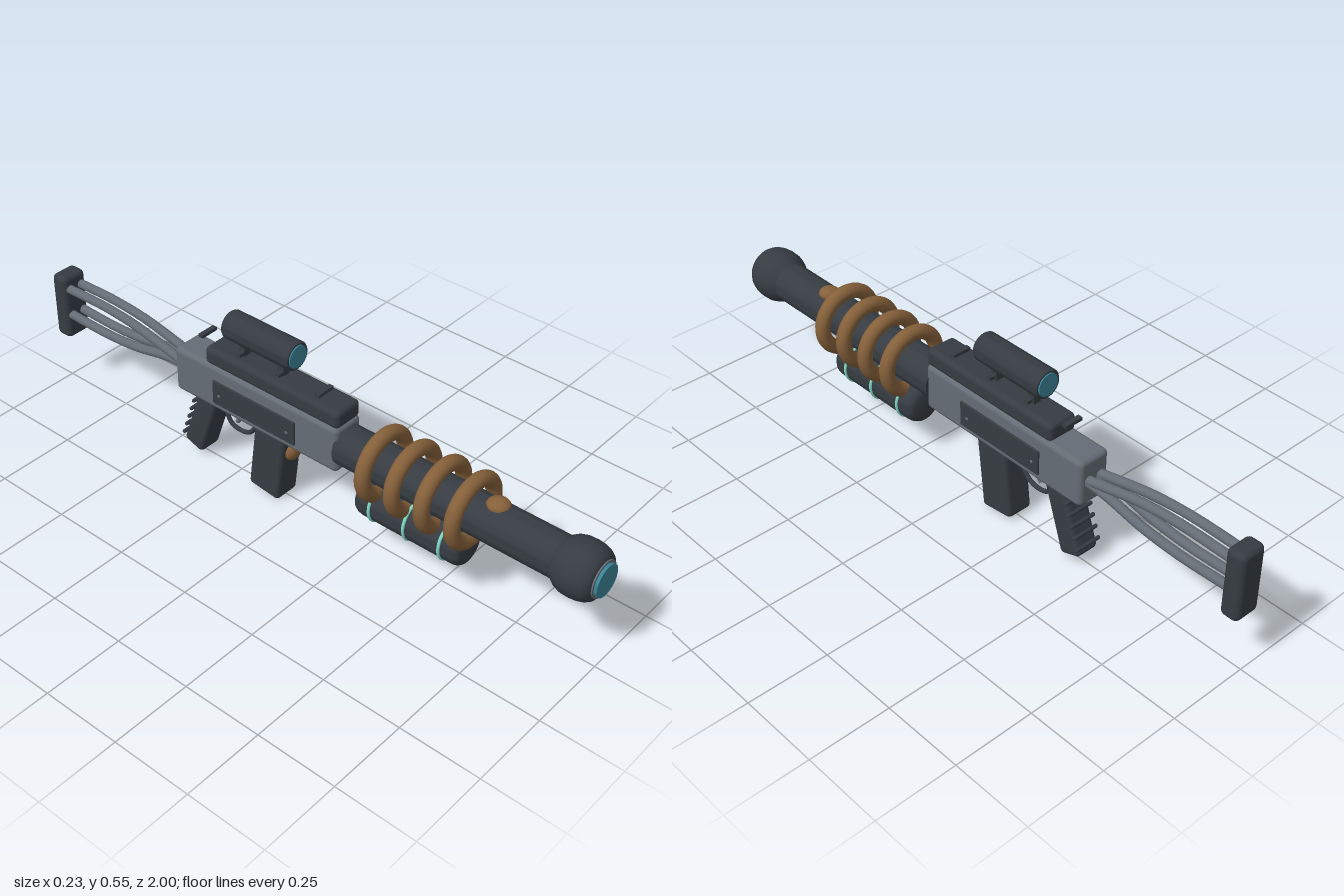
import * as THREE from 'three';
import { RoundedBoxGeometry } from 'three/addons/geometries/RoundedBoxGeometry.js';
import { toCreasedNormals } from 'three/addons/utils/BufferGeometryUtils.js';

const mat = (name, color) => Object.assign(new THREE.MeshStandardMaterial({ color }), { name });

export function createModel() {
  const dark = mat('charcoal', 0x363c42);
  const steel = mat('steel grey', 0x646c75);
  const brown = mat('copper brown', 0x85603a);
  const glass = mat('blue glass', 0x3a8296);
  const teal = mat('teal glow', 0x7fd8c4);
  const root = new THREE.Group();
  root.name = 'toyBlaster';

  const add = (name, geo, material, x = 0, y = 0, z = 0, parent = root) => {
    const m = new THREE.Mesh(geo, material);
    m.name = name;
    m.position.set(x, y, z);
    parent.add(m);
    return m;
  };
  const box = (w, h, d, r) => new RoundedBoxGeometry(w, h, d, 3, r);
  // Lathe along z from [radius, z] pairs listed back to front
  const turned = (pts) => toCreasedNormals(
    new THREE.LatheGeometry(pts.map(([r, z]) => new THREE.Vector2(r, z)), 40).rotateX(Math.PI / 2), 0.7);
  const tube = (pts, r) => new THREE.TubeGeometry(
    new THREE.CatmullRomCurve3(pts.map((p) => new THREE.Vector3(...p))), 32, r, 12);
  const dome = (rx, ry, rz) => new THREE.SphereGeometry(1, 24, 16).scale(rx, ry, rz);

  // Barrel with a bulbous muzzle
  add('barrel', turned([[0, 0.15], [0.062, 0.15], [0.062, 0.92], [0, 0.92]]), dark, 0, 0.3);
  add('muzzle', turned([[0.06, 0.86], [0.066, 0.87], [0.076, 0.885], [0.082, 0.905], [0.083, 0.93],
    [0.081, 0.95], [0.076, 0.967], [0.068, 0.98], [0.056, 0.987], [0, 0.987]]), dark, 0, 0.3);
  add('muzzleRim', turned([[0.055, 0.975], [0.055, 0.991], [0.047, 0.991]]), steel, 0, 0.3);
  add('muzzleLens', turned([[0.048, 0.975], [0.048, 1.0], [0, 1.0]]), glass, 0, 0.3);
  add('barrelButton', dome(0.032, 0.02, 0.034), brown, 0.004, 0.357, 0.66);
  for (let i = 0; i < 4; i++) {
    add('coilRing', new THREE.TorusGeometry(0.093, 0.023, 16, 48), brown, 0, 0.3, 0.285 + i * 0.1);
  }

  // Canister under the barrel with glowing bands
  add('canister', turned([[0, 0.225], [0.042, 0.225], [0.054, 0.23], [0.06, 0.241], [0.062, 0.255],
    [0.062, 0.56], [0.06, 0.571], [0.054, 0.58], [0.042, 0.585], [0, 0.585]]), dark, 0, 0.17);
  for (const z of [0.285, 0.405, 0.525]) {
    add('canisterBand', new THREE.TorusGeometry(0.062, 0.005, 10, 48), teal, 0, 0.17, z);
  }

  // Receiver body, side panels and top rail
  add('receiver', box(0.106, 0.15, 0.62, 0.016), steel, 0, 0.301, -0.15);
  for (const s of [1, -1]) {
    add('sidePanel', box(0.008, 0.08, 0.314, 0.003), dark, s * 0.054, 0.291, -0.148);
    for (const z of [-0.02, -0.28]) add('panelBolt', dome(0.003, 0.005, 0.005), steel, s * 0.058, 0.285, z);
  }
  add('topRail', box(0.1, 0.057, 0.5, 0.016), dark, 0, 0.401, 0.91 - 1.0);
  for (let i = 0; i < 4; i++) {
    add('railSlat', new THREE.BoxGeometry(0.06, 0.01, 0.016), dark, 0, 0.44, 0.07 - i * 0.147);
  }

  // Scope: hollow tube, floating lenses and two posts
  const scope = new THREE.Group();
  scope.name = 'scope';
  scope.position.set(0, 0.51, -0.152);
  root.add(scope);
  add('scopeTube', turned([[0.0365, -0.125], [0.041, -0.125], [0.0445, -0.12], [0.0445, 0.12],
    [0.041, 0.125], [0.0365, 0.125], [0.0365, -0.125]]), dark, 0, 0, 0, scope);
  for (const z of [-0.123, 0.123]) {
    add('scopeLens', new THREE.CylinderGeometry(0.0345, 0.0345, 0.009, 40).rotateX(Math.PI / 2), glass, 0, 0, z, scope);
  }
  for (const z of [0.072, -0.075]) {
    add('scopePost', new THREE.BoxGeometry(0.024, 0.06, 0.022), dark, 0, -0.068, z, scope);
  }

  // Front handle with its button
  add('frontHandle', box(0.088, 0.25, 0.115, 0.014), dark, 0, 0.129, -0.112).rotation.x = 0.12;
  add('handleButton', dome(0.03, 0.032, 0.022), brown, 0, 0.176, -0.047);

  // Trigger and its guard
  add('triggerGuard', tube([[0, 0.235, -0.185], [0, 0.19, -0.19], [0, 0.155, -0.215], [0, 0.145, -0.25],
    [0, 0.155, -0.288], [0, 0.19, -0.305], [0, 0.235, -0.307]], 0.007), dark);
  add('trigger', tube([[0, 0.23, -0.235], [0, 0.2, -0.243], [0, 0.172, -0.263]], 0.007), steel);

  // Rear grip with finger bars along its back
  const grip = new THREE.Group();
  grip.name = 'rearGrip';
  grip.position.set(0, 0.14, -0.379);
  grip.rotation.x = 0.33;
  root.add(grip);
  add('gripBody', box(0.08, 0.24, 0.075, 0.014), dark, 0, 0, 0, grip);
  for (let i = 0; i < 5; i++) {
    add('gripBar', new THREE.CapsuleGeometry(0.006, 0.082, 4, 10).rotateZ(Math.PI / 2), dark,
      0, -0.092 + i * 0.036, -0.041, grip);
  }

  // Stock: four bowed rods and a shoulder pad
  for (const x of [-0.022, 0.022]) {
    for (const s of [1, -1]) {
      add('stockRod', tube([[x, 0.303, -0.44], [x, 0.31 + s * 0.014, -0.53], [x, 0.31 + s * 0.038, -0.65],
        [x, 0.31 + s * 0.049, -0.78], [x, 0.31 + s * 0.046, -0.96]], 0.0145), steel);
    }
  }
  add('shoulderPad', box(0.088, 0.22, 0.06, 0.018), dark, 0, 0.29, -0.97);

  return root;
}
